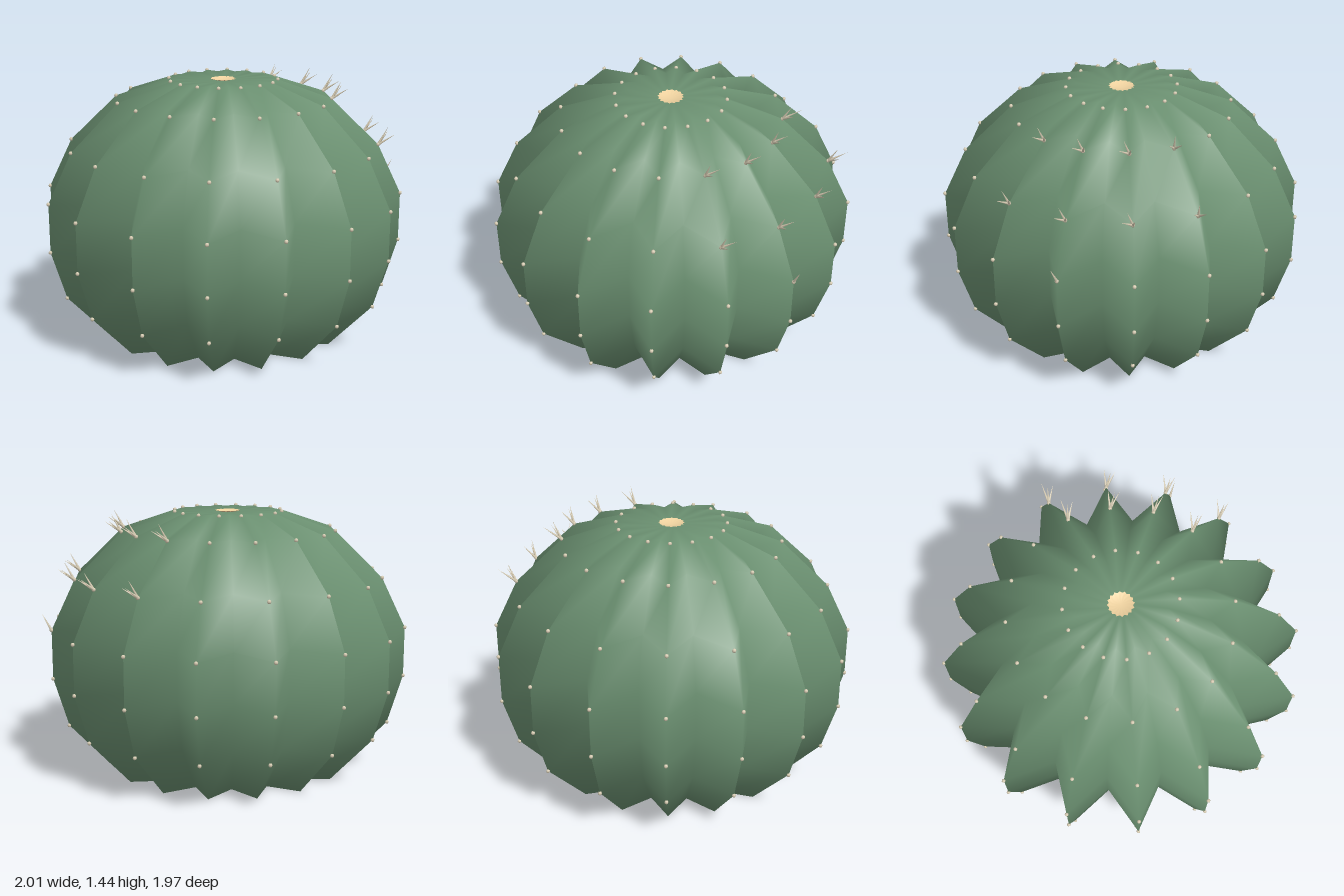
import * as THREE from 'three';

const RIBS = 16;
const CX = -0.025; // the body sits slightly off centre because of the spines

// [height, ridge radius, valley / ridge ratio] from the base to the crown
const RINGS = [
  [0, 0.65, 0.76], [0.265, 0.895, 0.76], [0.535, 0.975, 0.757], [0.805, 0.975, 0.757],
  [1.075, 0.845, 0.757], [1.325, 0.587, 0.77], [1.425, 0.295, 0.8], [1.418, 0.07, 0.85],
];

const ridgePoint = (ring, k) => {
  const [y, r] = RINGS[ring];
  const a = (k / RIBS) * Math.PI * 2;
  return new THREE.Vector3(r * Math.cos(a), y, r * Math.sin(a));
};

// Skin star-shaped cross-sections, closing each end with a fan when asked
function ribbedSkin(rings, bottomY, topY) {
  const n = RIBS * 2, pos = [], idx = [];
  for (const [y, r, q] of rings) {
    for (let i = 0; i < n; i++) {
      const a = (i / n) * Math.PI * 2;
      const rr = i % 2 ? r * q : r;
      pos.push(rr * Math.cos(a), y, rr * Math.sin(a));
    }
  }
  for (let j = 0; j < rings.length - 1; j++) {
    for (let i = 0; i < n; i++) {
      const a = j * n + i, b = j * n + (i + 1) % n;
      idx.push(a, a + n, b, b, a + n, b + n);
    }
  }
  const fan = (y, first, up) => {
    const c = pos.length / 3;
    pos.push(0, y, 0);
    for (let i = 0; i < n; i++) {
      const a = first + i, b = first + (i + 1) % n;
      if (up) idx.push(c, b, a);
      else idx.push(c, a, b);
    }
  };
  if (bottomY !== null) fan(bottomY, 0, false);
  if (topY !== null) fan(topY, (rings.length - 1) * n, true);
  const g = new THREE.BufferGeometry();
  g.setAttribute('position', new THREE.Float32BufferAttribute(pos, 3));
  g.setIndex(idx);
  g.computeVertexNormals();
  return g;
}

export function createModel() {
  const group = new THREE.Group();
  group.name = 'barrelCactus';
  const plant = new THREE.Group();
  plant.name = 'plant';
  plant.position.x = CX;
  group.add(plant);

  const green = new THREE.MeshStandardMaterial({ color: 0x6a8f70 });
  const cream = new THREE.MeshStandardMaterial({ color: 0xf0d3a0, side: THREE.DoubleSide });
  const pale = new THREE.MeshStandardMaterial({ color: 0xd8cdb4 });
  const add = (parent, name, geometry, material) => {
    const mesh = new THREE.Mesh(geometry, material);
    mesh.name = name;
    parent.add(mesh);
    return mesh;
  };

  // Ribbed body
  add(plant, 'body', ribbedSkin(RINGS, 0, 1.41), green);

  // Shallow woolly dish in the crown
  add(plant, 'crownWool', ribbedSkin([[1.427, 0.07, 0.87], [1.42, 0.045, 0.92]], null, 1.414), cream);

  // Areoles: a small pale bud on every ridge corner
  const areoles = new THREE.Group();
  areoles.name = 'areoles';
  plant.add(areoles);
  const bud = new THREE.SphereGeometry(0.011, 6, 4);
  for (let ring = 1; ring <= 6; ring++) {
    for (let k = 0; k < RIBS; k++) {
      add(areoles, 'areole', bud, pale).position.copy(ridgePoint(ring, k));
    }
  }

  // Spine clusters on the upper left flank: [ring, first rib, last rib]
  const spines = new THREE.Group();
  spines.name = 'spines';
  plant.add(spines);
  const needle = new THREE.ConeGeometry(0.008, 1, 5).translate(0, 0.5, 0);
  const up = new THREE.Vector3(0, 1, 0);
  const tips = [[0.05, 0.095, 0.012], [0.075, 0.065, -0.035], [0.085, 0.055, 0.03]];
  for (const [ring, from, to] of [[3, 0, 0], [4, -2, 1], [5, -2, 1]]) {
    for (let k = from; k <= to; k++) {
      for (const tip of ring === 3 ? tips.slice(0, 1) : tips) {
        const dir = new THREE.Vector3(...tip);
        if (k === -2) dir.z -= 0.03;
        const spine = add(spines, 'spine', needle, pale);
        spine.position.copy(ridgePoint(ring, k));
        spine.scale.y = dir.length();
        spine.quaternion.setFromUnitVectors(up, dir.normalize());
      }
    }
  }
  return group;
}
